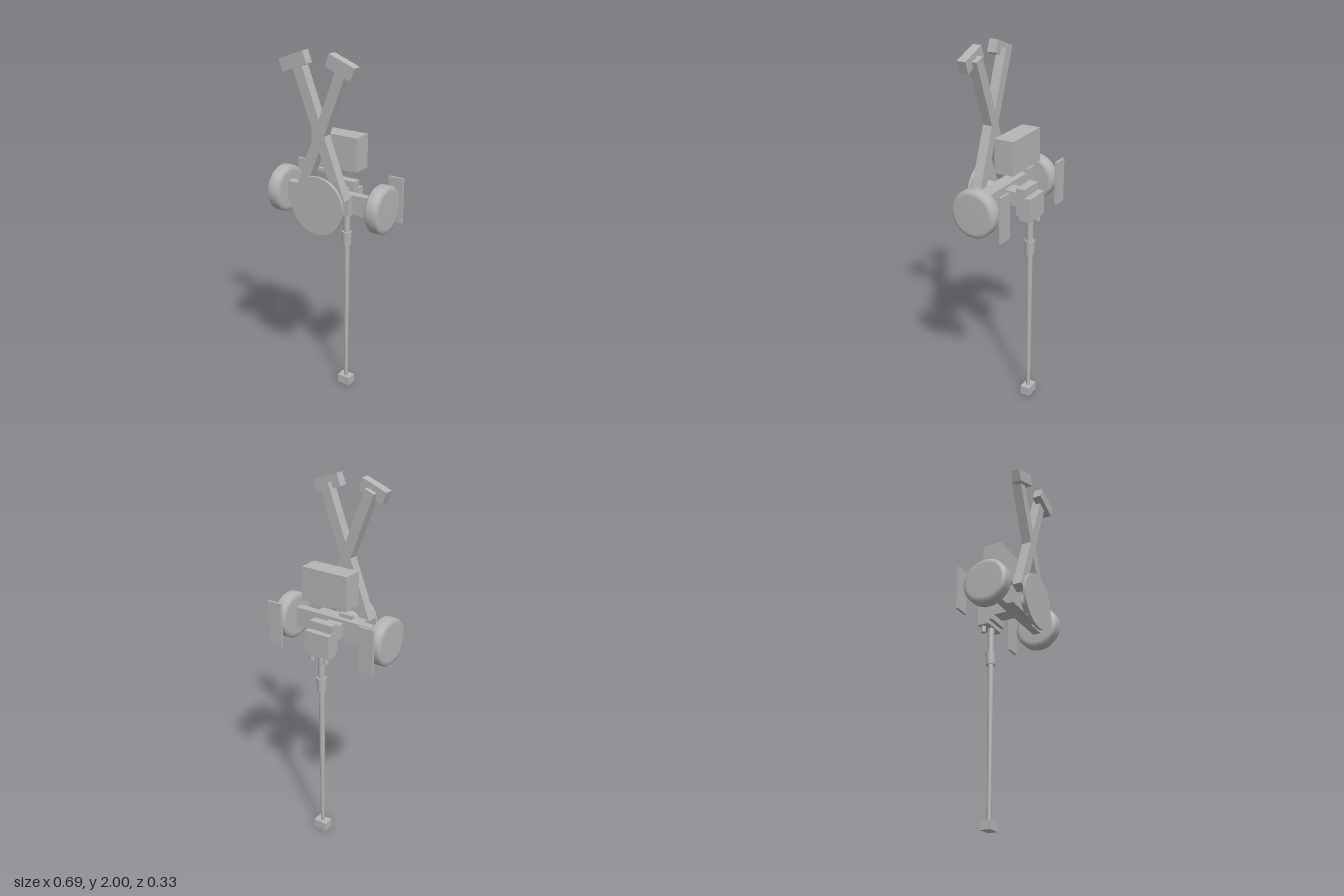
import * as THREE from 'three';

const grey = new THREE.MeshStandardMaterial({ color: 0xb4b4b4 });
grey.name = 'plain grey';

export function createModel() {
  const model = new THREE.Group();
  model.name = 'model';

  const add = (name, geometry, x, y, z) => {
    const mesh = new THREE.Mesh(geometry, grey);
    mesh.name = name;
    mesh.position.set(x, y, z);
    model.add(mesh);
    return mesh;
  };
  // box given by its extents on each axis
  const box = (name, [x0, x1], [y0, y1], [z0, z1]) =>
    add(name, new THREE.BoxGeometry(x1 - x0, y1 - y0, z1 - z0),
      (x0 + x1) / 2, (y0 + y1) / 2, (z0 + z1) / 2);
  // upright cylinder between two heights
  const post = (name, rTop, rBottom, y0, y1, x, z, sides = 12) =>
    add(name, new THREE.CylinderGeometry(rTop, rBottom, y1 - y0, sides), x, (y0 + y1) / 2, z);

  const AXLE_Y = 1.213;

  // long tapered pole with its collar and foot
  const poleZ = -0.123;
  box('foot', [-0.04, 0.04], [0, 0.05], [poleZ - 0.028, poleZ + 0.028]);
  post('pole', 0.017, 0.011, 0.05, 0.9, 0, poleZ);
  post('poleCollar', 0.028, 0.026, 0.893, 0.973, 0, poleZ);
  post('poleTop', 0.019, 0.019, 0.97, 1.13, 0, poleZ);

  // cross beam and its thicker middle
  box('axleBeam', [-0.27, 0.27], [1.16, 1.267], [0.007, 0.052]);
  box('beamCentre', [-0.145, 0.145], [1.16, 1.267], [0.04, 0.088]);

  // rear housing above the pole
  box('housingArm', [-0.045, 0.045], [1.17, 1.25], [-0.085, 0.007]);
  box('housingBracket', [-0.072, 0.072], [1.135, 1.285], [-0.13, -0.08]);
  box('housing', [-0.075, 0.075], [1.11, 1.24], [-0.165, -0.1]);

  // upper case with a small side rod below it
  box('upperCase', [-0.14, 0.14], [1.375, 1.557], [-0.1, 0.008]);
  box('sideRod', [-0.151, -0.07], [1.32, 1.34], [-0.065, -0.043]);

  // front disc and hub
  const disc = add('frontDisc', new THREE.CylinderGeometry(0.157, 0.157, 0.016, 48), 0, AXLE_Y, 0.16);
  disc.rotation.x = Math.PI / 2;
  const hub = add('discHub', new THREE.CylinderGeometry(0.05, 0.05, 0.07, 24), 0, AXLE_Y, 0.12);
  hub.rotation.x = Math.PI / 2;

  // wheel with rounded rim
  const wheelProfile = [[0, -0.038], [0.1, -0.038], [0.117, -0.036], [0.128, -0.024],
    [0.128, 0.024], [0.117, 0.036], [0.1, 0.038], [0, 0.038]]
    .map(([r, h]) => new THREE.Vector2(r, h));
  const wheelGeometry = new THREE.LatheGeometry(wheelProfile, 32);

  const tilt = THREE.MathUtils.degToRad(21);
  for (const s of [1, -1]) {
    const side = s > 0 ? 'left' : 'right';

    const wheel = add(side + 'Wheel', wheelGeometry, s * 0.305, AXLE_Y, 0.02);
    wheel.rotation.z = Math.PI / 2;

    // thin plate behind the wheel
    add(side + 'Plate', new THREE.BoxGeometry(0.086, 0.247, 0.013), s * 0.292, 1.214, -0.141);

    // crossed bar running to the opposite foot, with its end block
    const top = 1.943, bottom = 1.25, cross = 1.58;
    const mid = (top + bottom) / 2;
    const bar = add(side + 'CrossBar',
      new THREE.BoxGeometry(0.058, (top - bottom) / Math.cos(tilt), 0.054),
      s * (mid - cross) * Math.tan(tilt), mid, 0.115);
    bar.rotation.z = -s * tilt;
    const block = add(side + 'EndBlock', new THREE.BoxGeometry(0.155, 0.068, 0.05),
      s * 0.138, 1.94, 0.141);
    block.rotation.z = -s * tilt;

    // small peg under the housing
    post(side + 'Peg', 0.014, 0.014, 1.075, 1.13, s * 0.045, -0.145);
  }

  return model;
}
